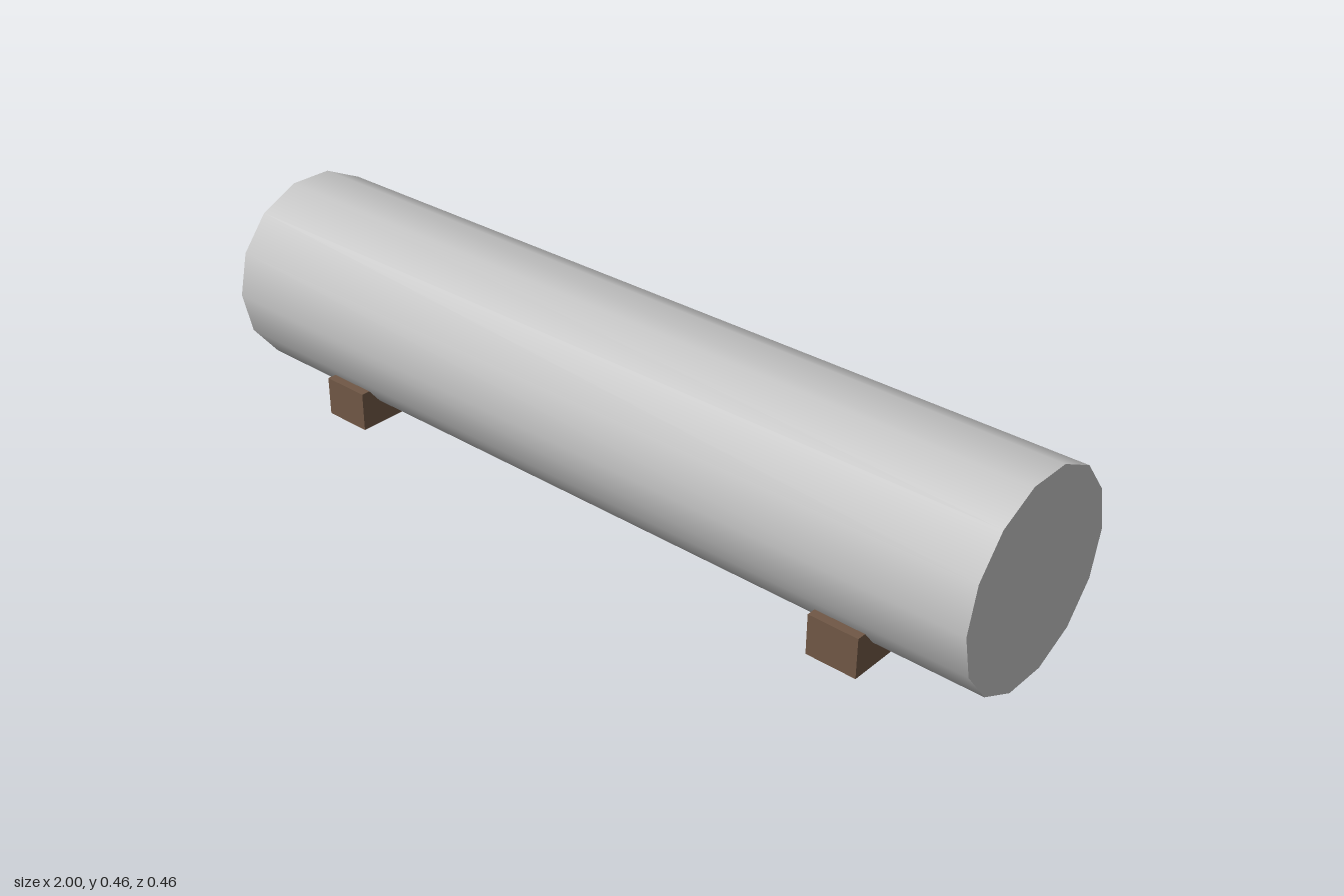
import * as THREE from 'three';

export function createModel() {
  const model = new THREE.Group();
  const grey = new THREE.MeshStandardMaterial({ color: 0xc4c4c4 });
  grey.name = 'pipeGrey';
  const brown = new THREE.MeshStandardMaterial({ color: 0x705846 });
  brown.name = 'woodBrown';

  // Long fourteen-sided cylinder lying along x, smooth sides and flat ends
  const body = new THREE.Mesh(new THREE.CylinderGeometry(0.231, 0.231, 2, 14).rotateZ(-Math.PI / 2), grey);
  body.name = 'cylinderBody';
  body.position.y = 0.239;
  model.add(body);

  // Wooden cradle blocks, mirrored under both ends
  const blockGeometry = new THREE.BoxGeometry(0.118, 0.093, 0.386);
  for (const [name, side] of [['leftCradle', 1], ['rightCradle', -1]]) {
    const cradle = new THREE.Mesh(blockGeometry, brown);
    cradle.name = name;
    cradle.position.set(side * 0.694, 0.0465, 0);
    model.add(cradle);
  }
  return model;
}
